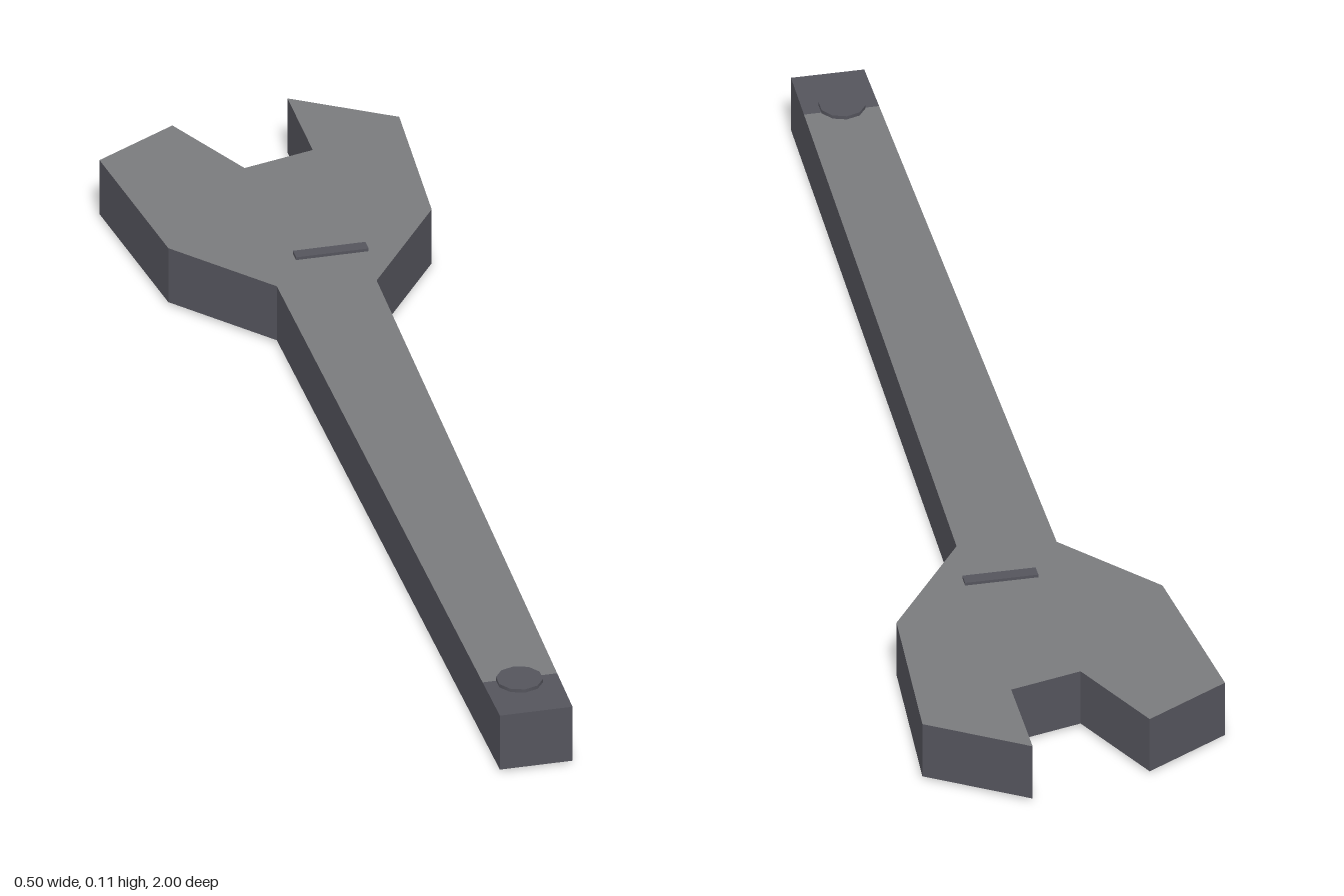
import * as THREE from 'three';

const BOTTOM = 0.005, TOP = 0.105;

export function createModel() {
  const model = new THREE.Group();
  model.name = 'wrench';

  const steel = new THREE.MeshStandardMaterial({ color: 0x7a7b7d });
  steel.name = 'steel';
  const darkSteel = new THREE.MeshStandardMaterial({ color: 0x54545c });
  darkSteel.name = 'darkSteel';

  function add(name, geometry, material) {
    const mesh = new THREE.Mesh(geometry, material);
    mesh.name = name;
    model.add(mesh);
    return mesh;
  }

  // flat slab from a plan outline of [x, z] points
  function slab(outline) {
    const shape = new THREE.Shape(outline.map(([x, z]) => new THREE.Vector2(x, z)));
    const geometry = new THREE.ExtrudeGeometry(shape, { depth: TOP - BOTTOM, bevelEnabled: false });
    return geometry.rotateX(Math.PI / 2).translate(0, TOP, 0);
  }

  // tapering handle and open jaw: light faces, dark edges
  const joinLeft = [-0.0515, 0.89], joinRight = [0.0716, 0.89];
  add('handleAndJaw', slab([
    joinLeft, [-0.07, -0.42], [-0.21, -0.58], [-0.25, -0.88], [-0.11, -0.96],
    [-0.03, -0.80], [0.09, -0.83], [0.09, -1], [0.25, -0.90], [0.23, -0.60],
    [0.09, -0.40], joinRight,
  ]), [steel, darkSteel]);

  // dark tip of the handle
  add('handleTip', slab([joinLeft, joinRight, [0.07, 1], [-0.05, 1]]), darkSteel);

  // raised round stud on the tip
  add('stud', new THREE.CylinderGeometry(0.038, 0.038, 0.012, 10), darkSteel)
    .position.set(0.007, TOP, 0.9);

  // narrow bar showing on both faces of the neck
  add('neckBar', new THREE.BoxGeometry(0.12, 0.11, 0.022), darkSteel)
    .position.set(0.04, 0.055, -0.505);

  return model;
}
